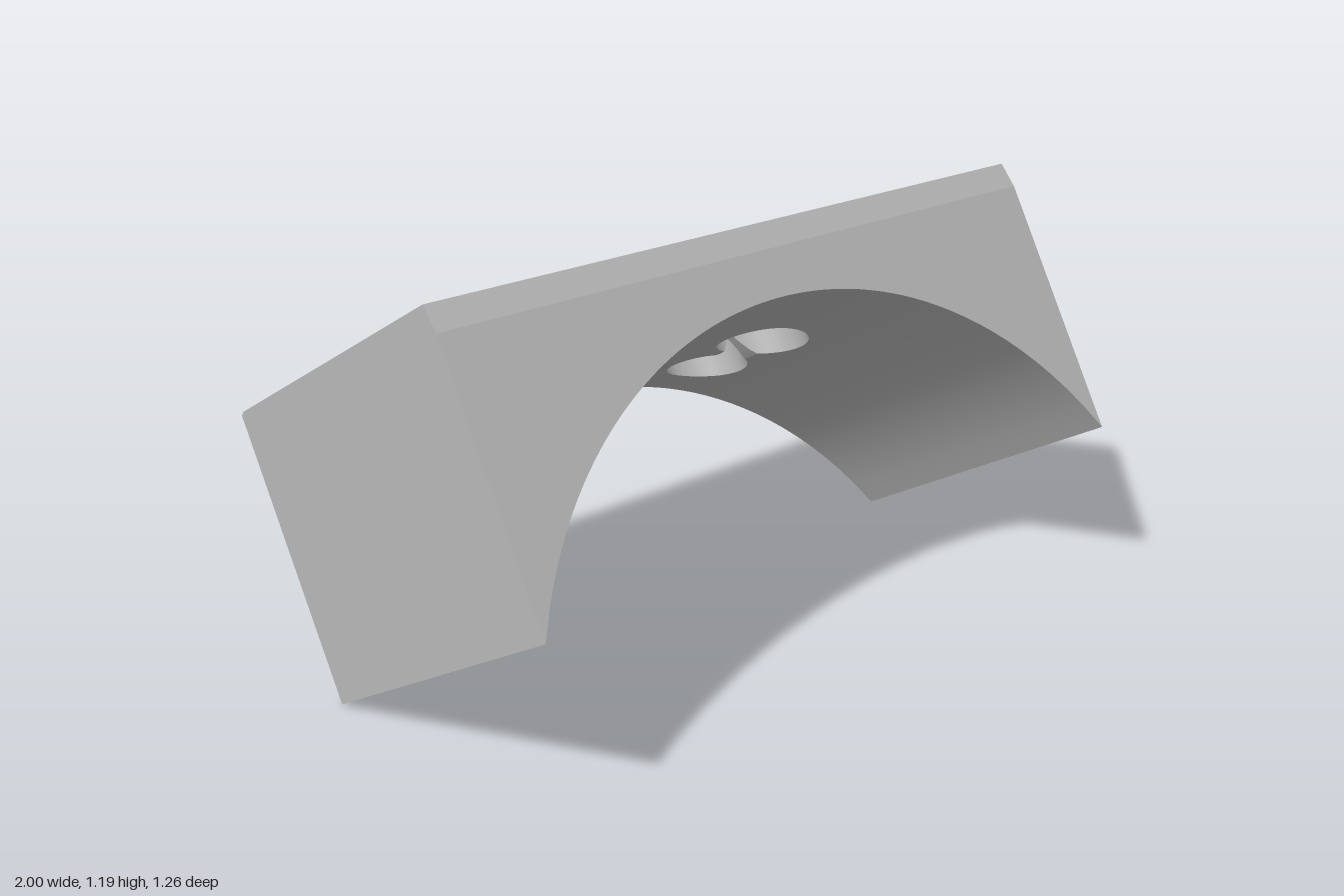
import * as THREE from 'three';
import { toCreasedNormals } from 'three/addons/utils/BufferGeometryUtils.js';

// Local frame: x across, y through the block's height, z along its depth.
const HEIGHT = 0.8, DEPTH = 1, RISE = 0.6;
const RADIUS = (1 + RISE * RISE) / (2 * RISE);
const HOLE_X = 0.333;
const through = { z: 0.515, r: 0.127 };
const blind = { z: 0.25, r: 0.115 };

const arch = x => Math.sqrt(RADIUS * RADIUS - x * x) - (RADIUS - RISE);
const half = (hole, x) => Math.sqrt(Math.max(0, hole.r ** 2 - (Math.abs(x) - HOLE_X) ** 2));
const lo = (hole, x) => hole.z - half(hole, x);
const hi = (hole, x) => hole.z + half(hole, x);
// the thin wall between two bores has a small peaked notch at its foot
const notch = x => Math.max(arch(x), 0.615 - 1.4 * Math.abs(Math.abs(x) - HOLE_X));

// Sample positions across the block, following the roundness of each bore
function samples() {
  const xs = [];
  for (let i = 0; i <= 48; i++) xs.push(-1 + i / 24);
  for (const side of [-1, 1])
    for (const hole of [through, blind])
      for (let i = 0; i <= 16; i++)
        xs.push(side * (HOLE_X + hole.r * Math.cos(Math.PI * i / 16)));
  xs.sort((a, b) => a - b);
  return xs.filter((x, i) => i === 0 || x - xs[i - 1] > 1e-5);
}
const XS = samples();

function addTriangle(out, a, b, c) {
  const t = new THREE.Triangle(new THREE.Vector3(...a), new THREE.Vector3(...b), new THREE.Vector3(...c));
  if (t.getArea() > 1e-9) out.push(...a, ...b, ...c);
}

// Surface swept along x between two edges, each given as x => [y, z]
function strip(out, p, q, keep = () => true) {
  for (let i = 0; i < XS.length - 1; i++) {
    const a = XS[i], b = XS[i + 1];
    if (!keep((a + b) / 2)) continue;
    const pa = [a, ...p(a)], pb = [b, ...p(b)], qa = [a, ...q(a)], qb = [b, ...q(b)];
    addTriangle(out, pa, pb, qb);
    addTriangle(out, pa, qb, qa);
  }
}

function makeMesh(name, positions, crease, material) {
  const geometry = new THREE.BufferGeometry();
  geometry.setAttribute('position', new THREE.Float32BufferAttribute(positions, 3));
  const mesh = new THREE.Mesh(toCreasedNormals(geometry, crease), material);
  mesh.name = name;
  return mesh;
}

export function createModel() {
  const gray = new THREE.MeshStandardMaterial({ color: 0xb8b8b8 });
  gray.name = 'light gray';

  // Outer faces with bevelled top edges
  const shell = [];
  const frontTop = [HEIGHT, 0.986], frontBevel = [0.727, DEPTH];
  const backTop = [HEIGHT, 0.014], backBevel = [0.793, 0];
  strip(shell, () => frontTop, x => [HEIGHT, hi(through, x)]);
  strip(shell, x => [HEIGHT, lo(through, x)], () => backTop);
  strip(shell, x => [arch(x), DEPTH], () => frontBevel);
  strip(shell, () => frontBevel, () => frontTop);
  strip(shell, () => backTop, () => backBevel);
  strip(shell, () => backBevel, x => [arch(x), 0]);

  // Flat ends
  const outline = [[0, 0], [0, DEPTH], frontBevel, frontTop, backTop, backBevel];
  for (let i = 1; i < outline.length - 1; i++) {
    const [a, b, c] = [outline[0], outline[i], outline[i + 1]];
    addTriangle(shell, [-1, ...a], [-1, ...b], [-1, ...c]);
    addTriangle(shell, [1, ...a], [1, ...c], [1, ...b]);
  }

  // Curved underside
  const under = [];
  strip(under, x => [arch(x), 0], x => [arch(x), lo(blind, x)]);
  strip(under, x => [notch(x), hi(blind, x)], x => [notch(x), lo(through, x)]);
  strip(under, x => [arch(x), hi(through, x)], x => [arch(x), DEPTH]);

  // Bore walls; the blind bore stops just under the top face
  const bores = [];
  for (const [hole, top] of [[through, HEIGHT], [blind, HEIGHT - 0.003]]) {
    const inside = x => half(hole, x) > 1e-4;
    const foot = hole === through ? [notch, arch] : [arch, notch];
    strip(bores, x => [foot[0](x), lo(hole, x)], x => [top, lo(hole, x)], inside);
    strip(bores, x => [top, hi(hole, x)], x => [foot[1](x), hi(hole, x)], inside);
    if (hole === blind) strip(bores, x => [top, lo(hole, x)], x => [top, hi(hole, x)], inside);
  }

  // The whole block leans back by 30 degrees
  const block = new THREE.Group();
  block.name = 'tiltedBlock';
  block.add(
    makeMesh('outerFaces', shell, 0.08, gray),
    makeMesh('archUnderside', under, 0.3, gray),
    makeMesh('bores', bores, 0.8, gray)
  );
  block.rotation.x = -Math.PI / 6;
  block.position.z = -0.233;

  const model = new THREE.Group();
  model.name = 'archedBlock';
  model.add(block);
  return model;
}
